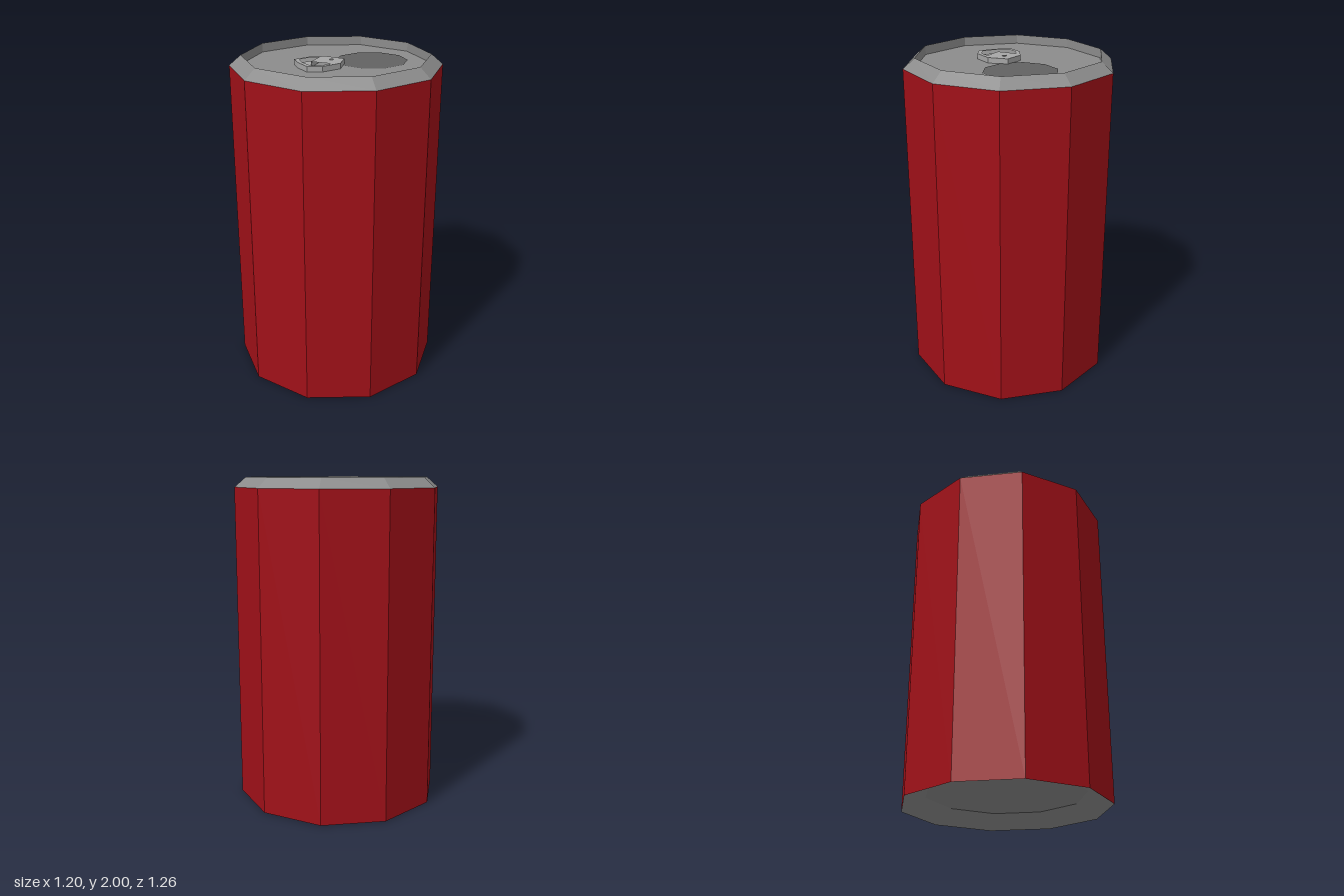
import * as THREE from 'three';

const SIDES = 10;
const LID_Y = 1.945;

const material = (color) => new THREE.MeshStandardMaterial({ color, flatShading: true });
const red = material(0xa01018);
const metal = material(0x8c8c8c);
const tabMetal = material(0xa6a6a6);
const dark = material(0x626262);

function part(name, geometry, mat) {
  const mesh = new THREE.Mesh(geometry, mat);
  mesh.name = name;
  return mesh;
}

// Ten-sided revolved part from [radius, height] pairs
function lathe(name, profile, mat) {
  const points = profile.map(([r, y]) => new THREE.Vector2(r, y));
  return part(name, new THREE.LatheGeometry(points, SIDES), mat);
}

// Horizontal plate from an [x, z] outline, with an optional hole
function plate(name, outline, hole, y, height, mat) {
  const toPoints = (list) => list.map(([x, z]) => new THREE.Vector2(x, -z));
  const shape = new THREE.Shape(toPoints(outline));
  if (hole) shape.holes.push(new THREE.Path(toPoints(hole)));
  const geometry = new THREE.ExtrudeGeometry(shape, { depth: height, bevelEnabled: false });
  geometry.rotateX(-Math.PI / 2).translate(0, y, 0);
  return part(name, geometry, mat);
}

export function createModel() {
  const can = new THREE.Group();
  can.name = 'drinkCan';

  // Painted wall, sloped rim with sunken lid, and hollowed base
  can.add(lathe('body', [[0.63, 0], [0.63, 1.94]], red));
  can.add(lathe('rimAndLid', [[0.63, 1.94], [0.56, 2], [0.56, LID_Y], [0, LID_Y]], metal));
  can.add(lathe('base', [[0, 0.08], [0.485, 0.08], [0.63, 0]], metal));

  // Drinking opening, a dark patch on the lid
  const opening = part('opening', new THREE.CircleGeometry(0.22, SIDES, Math.PI / 2), dark);
  opening.rotation.x = -Math.PI / 2;
  opening.position.set(0.225, LID_Y + 0.002, -0.01);
  can.add(opening);

  // Pull tab: outer frame, sunken finger well and rivet
  const outline = [[-0.24, -0.06], [-0.145, -0.093], [-0.04, -0.075], [0.043, 0.022],
    [-0.02, 0.128], [-0.14, 0.167], [-0.225, 0.14], [-0.245, 0.025]];
  const well = [[-0.215, -0.043], [-0.145, -0.067], [-0.088, -0.06], [-0.167, 0.035],
    [-0.075, 0.117], [-0.14, 0.14], [-0.2, 0.123], [-0.22, 0.02]];
  const tab = new THREE.Group();
  tab.name = 'pullTab';
  tab.add(plate('tabFrame', outline, well, LID_Y, 0.032, tabMetal));
  tab.add(plate('tabWell', well, null, LID_Y, 0.012, tabMetal));
  const rivet = part('tabRivet', new THREE.CylinderGeometry(0.013, 0.013, 0.008, 4), tabMetal);
  rivet.position.set(-0.038, LID_Y + 0.032, 0.025);
  tab.add(rivet);
  can.add(tab);

  return can;
}
